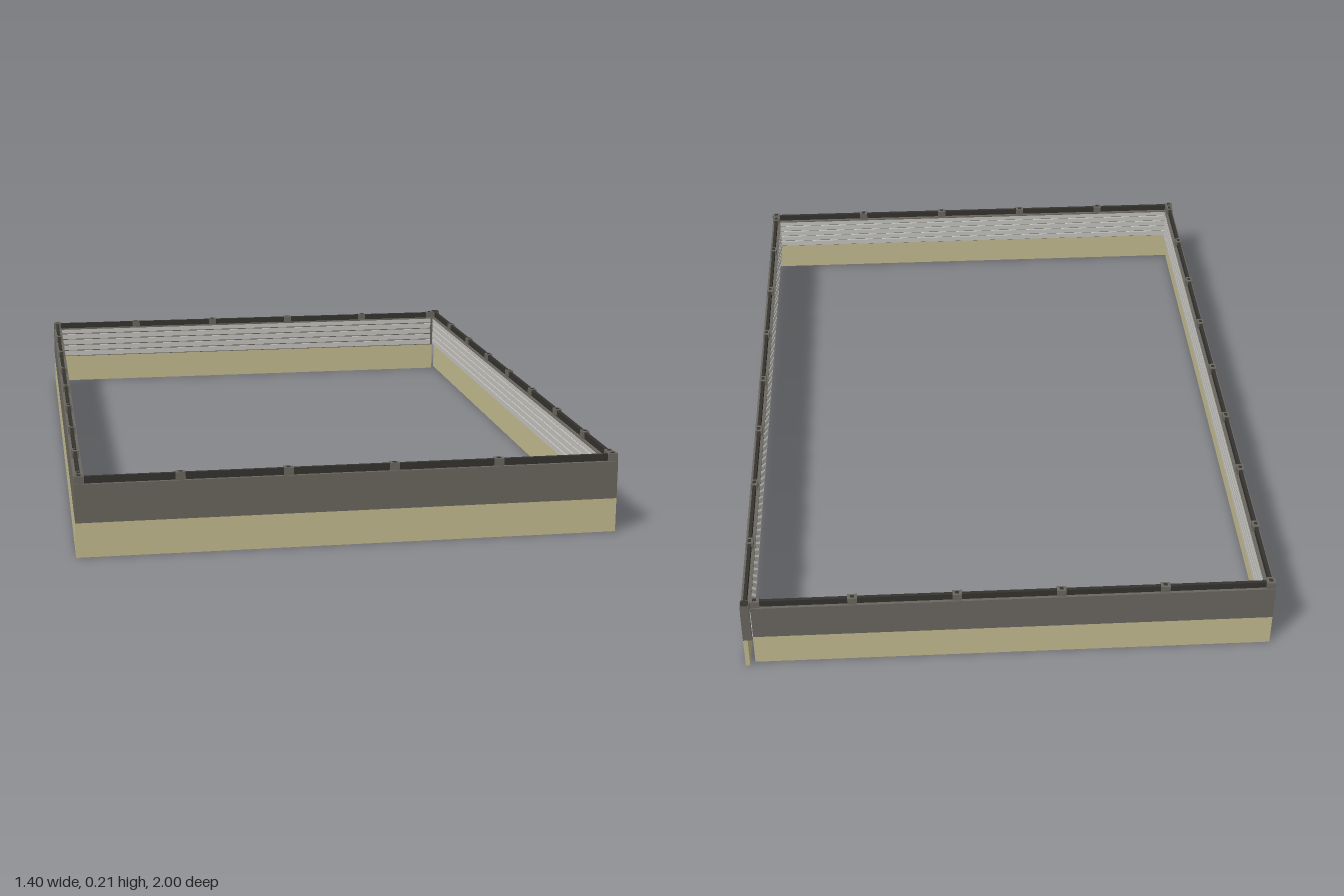
import * as THREE from 'three';

const mat = (name, color) => {
  const m = new THREE.MeshStandardMaterial({ color });
  m.name = name;
  return m;
};

export function createModel() {
  const beige = mat('beige footing', 0xc4bb90);
  const grey = mat('grey cladding', 0x6a665f);
  const pale = mat('pale planks', 0xc4c3be);
  const dark = mat('dark rail', 0x35332f);

  const group = new THREE.Group();
  group.name = 'perimeterWall';

  const T = 0.026, FOOT = 0.09, BODY = 0.19, TOP = 0.21;

  // Box given by its min and max corners
  const box = (parent, name, material, x0, x1, y0, y1, z0, z1) => {
    const m = new THREE.Mesh(new THREE.BoxGeometry(x1 - x0, y1 - y0, z1 - z0), material);
    m.position.set((x0 + x1) / 2, (y0 + y1) / 2, (z0 + z1) / 2);
    m.name = name;
    parent.add(m);
  };

  // One wall along local x; its outer face is at z = 0 and faces +z
  function wall(name, x0, x1, clips) {
    const w = new THREE.Group();
    w.name = name;
    box(w, 'footing', beige, x0, x1, 0, FOOT, -0.012, 0);
    box(w, 'cladding', grey, x0, x1, FOOT, BODY, -T + 0.004, 0);

    // Horizontal planks with dark gaps on the inner face
    const n = 5, step = (BODY - FOOT) / n;
    for (let i = 0; i < n; i++) {
      const y = FOOT + i * step;
      box(w, 'plank', pale, x0 + 0.01, x1 - 0.01, y + 0.003, y + step - 0.0005, -T, -T + 0.004);
    }
    box(w, 'coping', grey, x0, x1, BODY - 0.003, BODY, -T - 0.0005, 0);

    // Low rail on top, held by small clips
    box(w, 'topRail', dark, x0 + 0.02, x1 - 0.02, BODY, TOP - 0.002, -0.017, -0.008);
    for (const c of [x0 + 0.0125, ...clips, x1 - 0.0125]) {
      box(w, 'railClip', grey, c - 0.0125, c + 0.0125, BODY, TOP, -0.022, -0.003);
      box(w, 'clipBolt', dark, c - 0.005, c + 0.005, TOP, TOP + 0.001, -0.017, -0.008);
    }
    group.add(w);
    return w;
  }

  // Evenly spaced clip positions
  const row = (start, step, count) => Array.from({ length: count }, (_, i) => start + i * step);

  const front = wall('frontWall', -0.7, 0.7, row(-0.435, 0.273, 4));
  front.position.z = 1;

  const back = wall('backWall', -0.675, 0.7, row(-0.41, 0.273, 4));
  back.rotation.y = Math.PI;
  back.position.z = -0.988;

  const left = wall('leftWall', -0.975, 1, row(-0.76, 0.25, 7));
  left.rotation.y = Math.PI / 2;
  left.position.x = 0.7;

  const right = wall('rightWall', -0.987, 0.975, row(-0.745, 0.248, 7));
  right.rotation.y = -Math.PI / 2;
  right.position.x = -0.7;

  // Post where the longest wall runs past the back corner
  box(group, 'cornerPost', grey, 0.676, 0.6995, FOOT, TOP, -0.9995, -0.975);
  box(group, 'cornerPostCap', dark, 0.678, 0.698, TOP, TOP + 0.001, -0.998, -0.977);

  return group;
}
